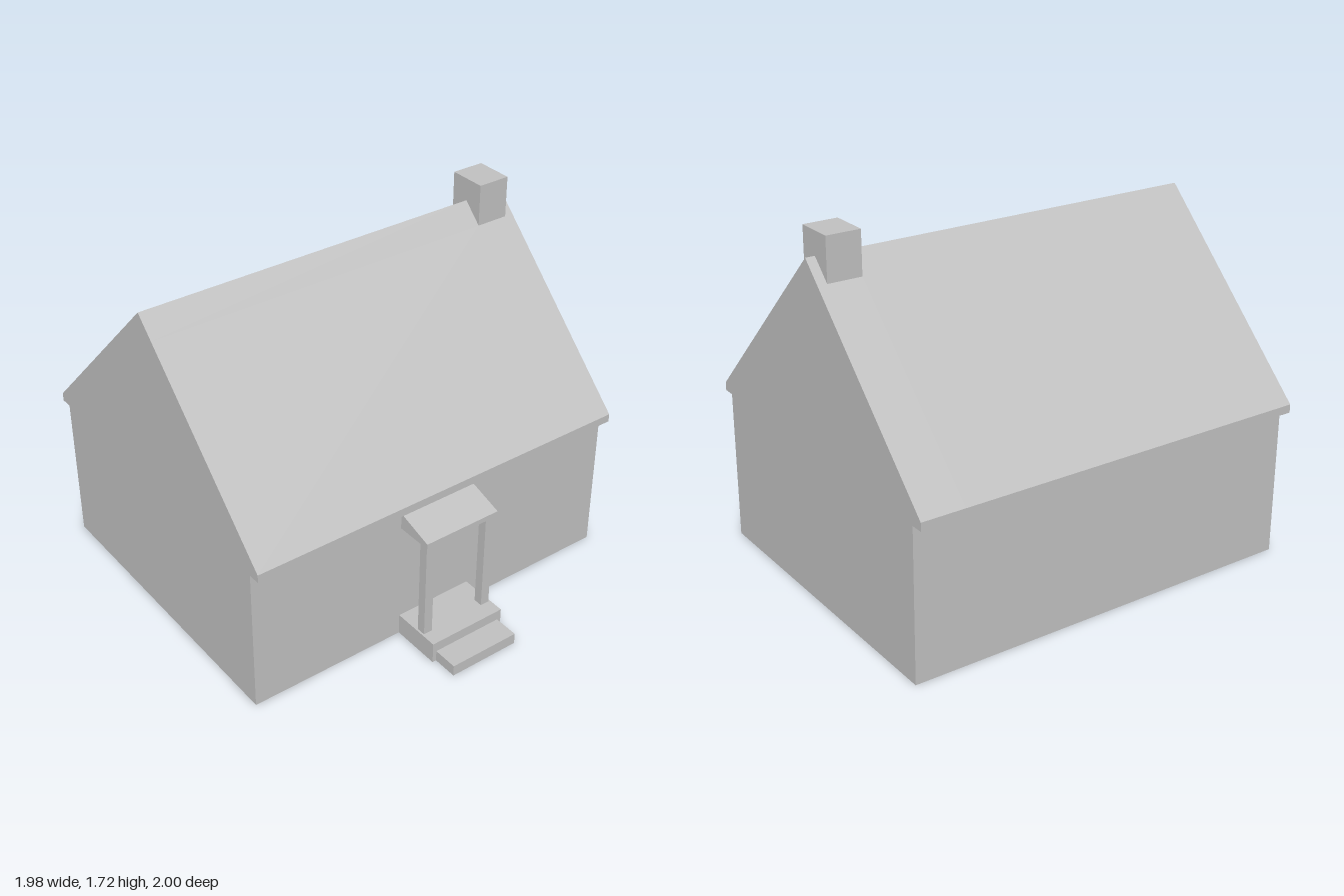
import * as THREE from 'three';

const plaster = new THREE.MeshStandardMaterial({ color: 0xc0c0c0, side: THREE.DoubleSide });
plaster.name = 'light grey';

// Sheet folded along a profile of [z, y] points (front, over the top, to the back),
// spanning x0..x1. holes: { segment: [[xa, xb, from, to], ...] }, from/to as fractions
// of that segment. endCap: outline of the flat ends, or null for open ends.
function foldedShell(name, profile, x0, x1, { holes = {}, endCap = profile } = {}) {
  const pos = [];
  const quad = (a, b, c, d) => pos.push(...a, ...b, ...c, ...a, ...c, ...d);
  const sorted = (list) => [...new Set(list)].sort((a, b) => a - b);

  for (let i = 0; i < profile.length - 1; i++) {
    const [z0, y0] = profile[i];
    const [z1, y1] = profile[i + 1];
    const at = (x, t) => [x, y0 + (y1 - y0) * t, z0 + (z1 - z0) * t];
    const cuts = holes[i] || [];
    const xs = sorted([x0, x1, ...cuts.flatMap((h) => [h[0], h[1]])]);
    const ts = sorted([0, 1, ...cuts.flatMap((h) => [h[2], h[3]])]);
    for (let j = 0; j < xs.length - 1; j++) {
      for (let k = 0; k < ts.length - 1; k++) {
        const mx = (xs[j] + xs[j + 1]) / 2;
        const mt = (ts[k] + ts[k + 1]) / 2;
        if (cuts.some((h) => mx > h[0] && mx < h[1] && mt > h[2] && mt < h[3])) continue;
        quad(at(xs[j], ts[k]), at(xs[j + 1], ts[k]), at(xs[j + 1], ts[k + 1]), at(xs[j], ts[k + 1]));
      }
    }
  }

  // flat ends
  if (endCap) {
    let outline = endCap.map(([z, y]) => new THREE.Vector2(z, y));
    if (THREE.ShapeUtils.isClockWise(outline)) outline = outline.reverse();
    for (const [a, b, c] of THREE.ShapeUtils.triangulateShape(outline, [])) {
      const put = (x, ...ids) => ids.forEach((n) => pos.push(x, outline[n].y, outline[n].x));
      put(x0, a, b, c);
      put(x1, a, c, b);
    }
  }

  const geo = new THREE.BufferGeometry();
  geo.setAttribute('position', new THREE.Float32BufferAttribute(pos, 3));
  geo.computeVertexNormals();
  const mesh = new THREE.Mesh(geo, plaster);
  mesh.name = name;
  return mesh;
}

export function createModel() {
  const house = new THREE.Group();
  house.name = 'house';

  const W = 0.99; // half width
  const front = 0.63, back = -0.94; // wall planes
  const wallTop = 0.73, eaveTop = 0.77;
  const ridgeZ = -0.155, ridgeY = 1.61, run = 0.845;
  const chimneyHalf = 0.095, chimneyX = [0.78, 0.945];
  const stepTop = 0.105, lowStepTop = 0.055;
  const canopyLow = 0.608, canopyHigh = 0.69;

  // walls, open to the steps and the canopy
  house.add(foldedShell('frontWall', [[front, 0], [front, wallTop]], -W, W, {
    holes: { 0: [
      [-0.2, 0.2, 0, stepTop / wallTop],
      [-0.2, 0.2, canopyLow / wallTop, canopyHigh / wallTop],
    ] },
    endCap: null,
  }));
  house.add(foldedShell('backWall', [[back, wallTop], [back, 0]], -W, W, { endCap: null }));
  house.add(foldedShell('endWalls', [], -W, W, {
    endCap: [[front, 0], [front, wallTop], [back, wallTop], [back, 0]],
  }));

  // roof with boxed eaves and gables, open below the chimney
  const f = chimneyHalf / run;
  house.add(foldedShell('roof', [
    [front, wallTop], [ridgeZ + run, wallTop], [ridgeZ + run, eaveTop], [ridgeZ, ridgeY],
    [ridgeZ - run, eaveTop], [ridgeZ - run, wallTop], [back, wallTop],
  ], -W, W, { holes: { 2: [[...chimneyX, 1 - f, 1]], 3: [[...chimneyX, 0, f]] } }));

  // chimney astride the ridge
  const foot = ridgeY - (ridgeY - eaveTop) * f;
  const chimney = [
    [ridgeZ + chimneyHalf, foot], [ridgeZ + chimneyHalf, 1.72],
    [ridgeZ - chimneyHalf, 1.72], [ridgeZ - chimneyHalf, foot],
  ];
  house.add(foldedShell('chimney', chimney, ...chimneyX, { endCap: [...chimney, [ridgeZ, ridgeY]] }));

  // porch
  const porch = new THREE.Group();
  porch.name = 'porch';
  house.add(porch);
  porch.add(foldedShell('canopy',
    [[front, canopyLow], [0.813, canopyLow], [0.813, 0.633], [front, canopyHigh]], -0.2, 0.2));
  porch.add(foldedShell('landing', [[0.877, 0], [0.877, stepTop], [front, stepTop]], -0.2, 0.2, {
    holes: { 0: [[-0.18, 0.18, 0, lowStepTop / stepTop]] },
    endCap: [[0.877, 0], [0.877, stepTop], [front, stepTop], [front, 0]],
  }));
  porch.add(foldedShell('lowerStep', [[1, 0], [1, lowStepTop], [0.877, lowStepTop]], -0.18, 0.18, {
    endCap: [[1, 0], [1, lowStepTop], [0.877, lowStepTop], [0.877, 0]],
  }));
  for (const side of [-1, 1]) {
    const post = new THREE.Mesh(new THREE.BoxGeometry(0.045, canopyLow - stepTop, 0.045), plaster);
    post.name = side > 0 ? 'leftPost' : 'rightPost';
    post.position.set(side * 0.168, (canopyLow + stepTop) / 2, 0.777);
    porch.add(post);
  }

  return house;
}
